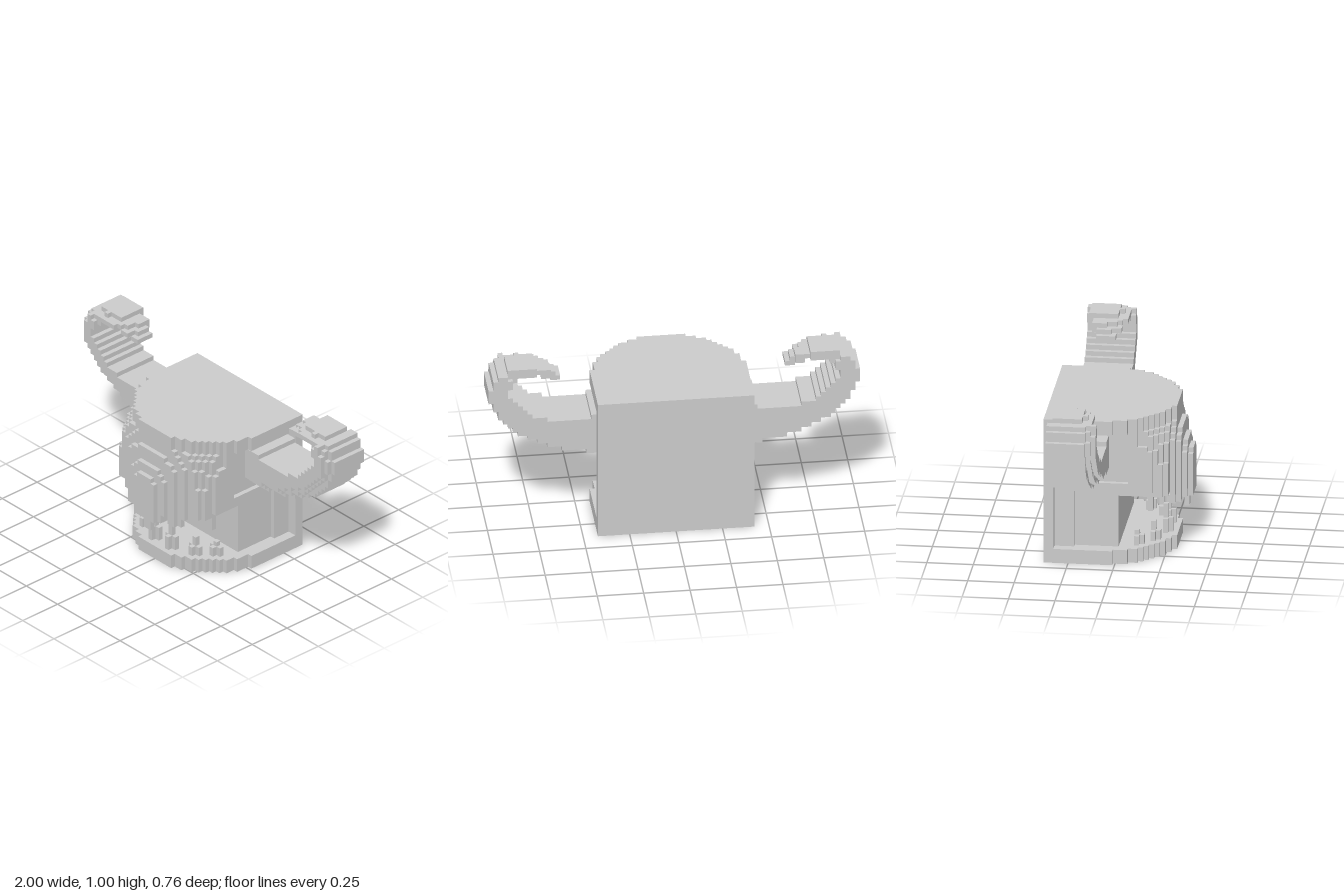
import * as THREE from 'three';

const V = 1 / 38; // edge of one block
const NX = 38, NY = 38, NZ = 14; // half width, height and half depth in blocks
const material = new THREE.MeshStandardMaterial({ color: 0xcccccc, flatShading: true });

// Build the exposed faces of all blocks for which solid(x, y, z) holds at the block centre
function blocks(name, solid) {
  const pos = [];
  const axes = [[1, 0, 0], [0, 1, 0], [0, 0, 1]];
  for (let x = -NX + 0.5; x < NX; x++)
    for (let y = 0.5; y < NY; y++)
      for (let z = -NZ; z <= NZ; z++) {
        if (!solid(x, y, z)) continue;
        for (let a = 0; a < 3; a++)
          for (const s of [1, -1]) {
            const n = axes[a], u = axes[(a + 1) % 3], w = axes[(a + 2) % 3];
            if (solid(x + s * n[0], y + s * n[1], z + s * n[2])) continue;
            const corner = (p, q) => [x, y, z].map((c, i) => (c + (s * n[i] + p * s * u[i] + q * w[i]) / 2) * V);
            const [A, B, C, D] = [corner(-1, -1), corner(1, -1), corner(1, 1), corner(-1, 1)];
            pos.push(...A, ...B, ...C, ...A, ...C, ...D);
          }
      }
  const geometry = new THREE.BufferGeometry();
  geometry.setAttribute('position', new THREE.Float32BufferAttribute(pos, 3));
  geometry.computeVertexNormals();
  const mesh = new THREE.Mesh(geometry, material);
  mesh.name = name;
  return mesh;
}

// D-shaped plan: straight back, round front
const plan = (x, z, r = 15.7) =>
  z >= -NZ && Math.abs(x) < (z < 0 ? 16 : 15) && (z < 0 || Math.hypot(x, z + 4) <= r);

// Face layers from the tip of the muzzle backwards: z, half width, top, roundness of the top
const layers = [[14, 3, 21, 0.8], [13, 5, 23, 0.8], [12, 7, 26, 0.8], [11, 9, 28, 0.7], [10, 11.5, 28, 0.5],
  [9, 12.5, 28, 0.4], [8, 13, 28, 0.3], [7, 14, 28, 0.25], [6, 14, 28, 0.2], [5, 14, 28, 0.15],
  [4, 14, 28, 0], [3, 14, 28, 0], [2, 14, 28, 0], [1, 14, 28, 0]];

function face(x, y, z) {
  const layer = layers.find((l) => l[0] === z);
  if (!layer) return false;
  const ax = Math.abs(x), [, half, top, round] = layer;
  // arched top edge of each layer
  const shoulder = Math.max(0, y - (top - half * 0.6)) / (half * 0.6);
  if (y > top || ax > half * Math.sqrt(Math.max(0, 1 - round * shoulder ** 2))) return false;
  // ragged lower edge with hanging points
  let bottom = 14;
  if (z >= 11) bottom = ax < 4 || (ax > 5 && ax < 8) ? 11 : 13;
  if (z === 13 && ax < 1) bottom = 8;
  if (z === 7 && ax > 11 && ax < 13) bottom = 11;
  // cheeks reach further back towards the top, jaw edge is set in
  if (y > 17 && y < 21 && z < 3) return false;
  if (y < 15 && z < 9 && ax > 13) return false;
  return y > bottom;
}

// Lower teeth: x, z, height of the middle block, height of its neighbours
const teeth = [[2.5, 9, 9, 6], [7.5, 7, 7, 5], [10.5, 4, 6, 5]];
function tooth(x, y, z) {
  return y > 3 && teeth.some(([tx, tz, high, low]) => {
    const d = Math.abs(Math.abs(x) - tx) + Math.abs(z - tz);
    return (d === 0 && y < high) || (d === 1 && z >= tz && y < low);
  });
}

// Horn path: x, y, half thickness, half depth
const hornPath = [[13, 22.6, 4.4, 5], [20, 22.4, 3.8, 5], [25, 23.3, 2.9, 5], [30, 25.3, 2.5, 5],
  [34, 29, 2.2, 5], [35.9, 32.5, 2, 5], [35, 35.3, 1.8, 4.6], [32, 36.9, 1.1, 4], [29, 37, 0.95, 3.5],
  [26, 36, 0.8, 2.5], [23.5, 34.5, 0.7, 1.6]];
function horn(x, y, z) {
  if (x < 12) return false;
  for (let i = 0; i < hornPath.length - 1; i++) {
    const a = hornPath[i], b = hornPath[i + 1];
    const dx = b[0] - a[0], dy = b[1] - a[1];
    const t = THREE.MathUtils.clamp(((x - a[0]) * dx + (y - a[1]) * dy) / (dx * dx + dy * dy), 0, 1);
    const [px, py, thick, deep] = a.map((c, k) => c + (b[k] - c) * t);
    const outside = (x - px) * dy > (y - py) * dx;
    // bevel along the outer front edge
    const bevel = outside ? Math.max(0, z + 6.5 - (deep - 2.5)) * Math.min(1, thick / 2.5) : 0;
    if (Math.abs(z + 6.5) <= deep && Math.hypot(x - px, y - py) <= thick - bevel) return true;
  }
  return false;
}

export function createModel() {
  const group = new THREE.Group();
  group.name = 'hornedHead';
  group.add(
    blocks('base', (x, y, z) => y > 0 && y < 3 && plan(x, z)),
    blocks('crown', (x, y, z) => y > 28 && y < 31 && plan(x, z)),
    blocks('backPanel', (x, y, z) => y > 0 && y < 31 && z >= -14 && z <= -13 && Math.abs(x) < 16),
    // throat wall behind the open mouth, framed at the back and along the top
    blocks('throat', (x, y, z) => y > 3 && y < 17 && z > -13 && z <= 0 &&
      Math.abs(x) < (z < -8 || y > 15 ? 14 : 13)),
    // inner skull above the mouth
    blocks('skull', (x, y, z) => y > 14 && y < 28 && z > -13 && z < 10 &&
      Math.abs(x) < 13 && plan(x, z, 14.5)),
    blocks('face', face),
    blocks('lowerTeeth', tooth),
    blocks('leftHorn', horn),
    blocks('rightHorn', (x, y, z) => horn(-x, y, z)),
  );
  return group;
}
